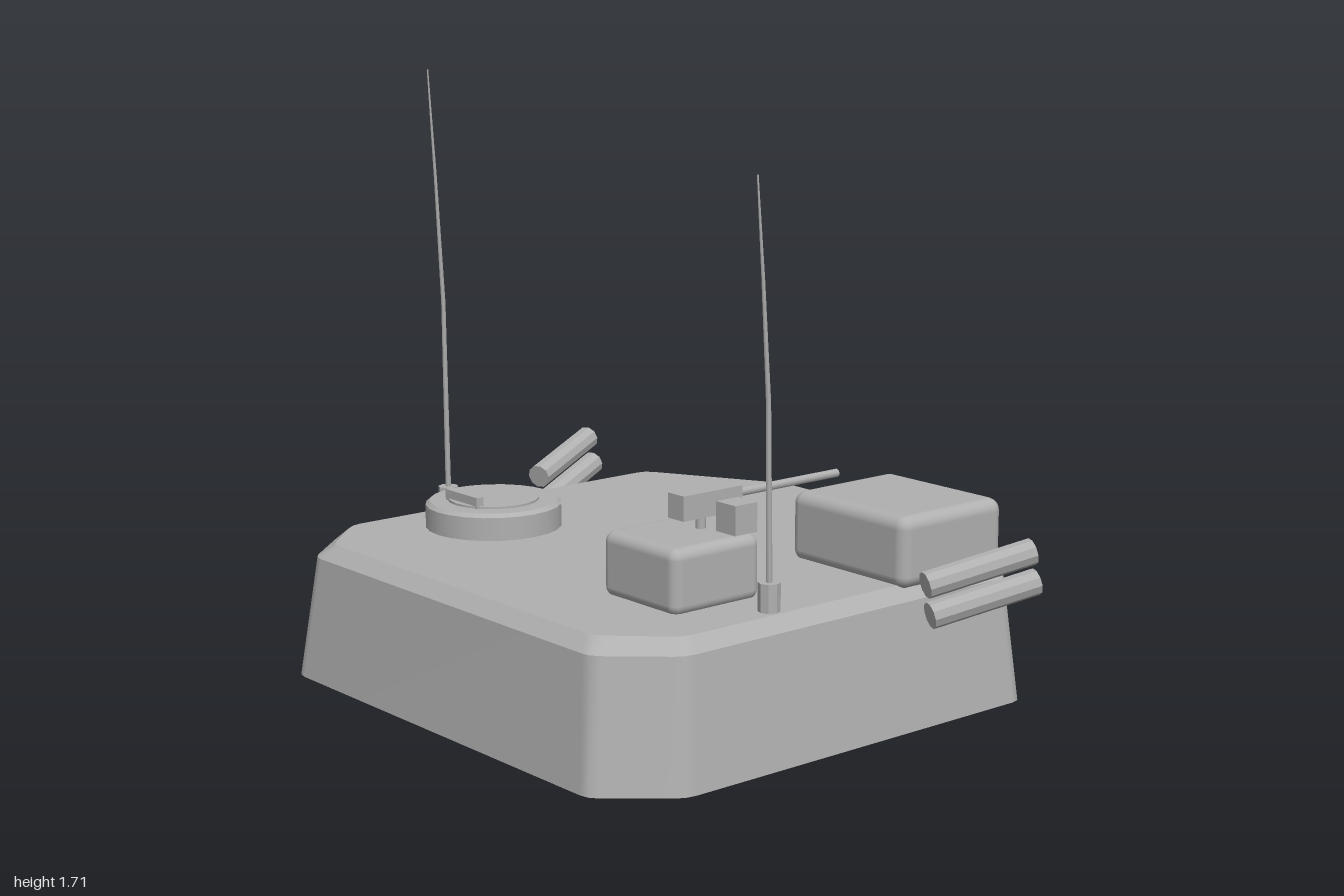
import * as THREE from 'three';
import { RoundedBoxGeometry } from 'three/addons/geometries/RoundedBoxGeometry.js';

const grey = new THREE.MeshStandardMaterial({ color: 0xb0b0b0 });
grey.name = 'grey';
const greyFlat = new THREE.MeshStandardMaterial({ color: 0xb0b0b0, flatShading: true });
greyFlat.name = 'grey faceted';

function part(parent, name, geometry, x = 0, y = 0, z = 0, material = grey) {
  const mesh = new THREE.Mesh(geometry, material);
  mesh.name = name;
  mesh.position.set(x, y, z);
  parent.add(mesh);
  return mesh;
}

// Cylinder running from a to b
function rod(parent, name, a, b, rA, rB, sides, material) {
  const dir = b.clone().sub(a);
  const mid = a.clone().add(b).multiplyScalar(0.5);
  const mesh = part(parent, name, new THREE.CylinderGeometry(rB, rA, dir.length(), sides), mid.x, mid.y, mid.z, material);
  mesh.quaternion.setFromUnitVectors(new THREE.Vector3(0, 1, 0), dir.normalize());
  return mesh;
}

// Eight-cornered outline with softened corners, anticlockwise from above
function ring(y, half) {
  const all = [...half, ...half.slice().reverse().map(([x, z]) => [-x, z])];
  const pts = all.map(([x, z]) => new THREE.Vector3(x, y, z));
  const out = [];
  pts.forEach((p, i) => {
    const prev = pts[(i + pts.length - 1) % pts.length];
    const next = pts[(i + 1) % pts.length];
    const a = p.clone().add(prev.clone().sub(p).setLength(0.03));
    const b = p.clone().add(next.clone().sub(p).setLength(0.03));
    const curve = new THREE.QuadraticBezierCurve3(a, p, b);
    out.push(...curve.getPoints(2));
  });
  return out;
}

// Wall between two outlines, each band smooth around and sharp at its rims
function band(low, high) {
  const n = low.length;
  const index = [];
  for (let i = 0; i < n; i++) {
    const j = (i + 1) % n;
    index.push(i, j, n + j, i, n + j, n + i);
  }
  const g = new THREE.BufferGeometry().setFromPoints([...low, ...high]);
  g.setIndex(index);
  g.computeVertexNormals();
  return g;
}

function cap(points, up) {
  const index = [];
  for (let i = 1; i < points.length - 1; i++) index.push(0, up ? i : i + 1, up ? i + 1 : i);
  const g = new THREE.BufferGeometry().setFromPoints(points);
  g.setIndex(index);
  g.computeVertexNormals();
  return g;
}

export function createModel() {
  const model = new THREE.Group();
  model.name = 'turret';

  // Tapered body with a bevelled upper rim
  const body = new THREE.Group();
  body.name = 'body';
  model.add(body);
  const bottom = ring(0, [[0.67, 0.83], [0.83, 0.64], [0.83, -0.58], [0.37, -0.83]]);
  const shoulder = ring(0.35, [[0.63, 0.79], [0.79, 0.61], [0.79, -0.555], [0.355, -0.795]]);
  const top = ring(0.388, [[0.595, 0.75], [0.752, 0.585], [0.752, -0.53], [0.34, -0.757]]);
  part(body, 'bodyWall', band(bottom, shoulder));
  part(body, 'bodyBevel', band(shoulder, top));
  part(body, 'bodyRoof', cap(top, true));
  part(body, 'bodyFloor', cap(bottom, false));

  // Round hatch with lid and viewing block
  const hatch = new THREE.Group();
  hatch.name = 'hatch';
  model.add(hatch);
  part(hatch, 'hatchRing', new THREE.CylinderGeometry(0.2, 0.2, 0.07, 24), -0.492, 0.42, 0.26);
  part(hatch, 'hatchRim', new THREE.CylinderGeometry(0.188, 0.2, 0.011, 24), -0.492, 0.46, 0.26);
  part(hatch, 'hatchLid', new THREE.CylinderGeometry(0.134, 0.134, 0.02, 18), -0.492, 0.462, 0.26);
  part(hatch, 'viewingBlock', new THREE.BoxGeometry(0.155, 0.035, 0.025), -0.495, 0.48, 0.362);

  // Rear stowage box with a thin back plate
  part(model, 'stowageBox', new RoundedBoxGeometry(0.445, 0.2, 0.39, 3, 0.035), 0.562, 0.477, -0.35);
  part(model, 'stowagePlate', new THREE.BoxGeometry(0.35, 0.12, 0.008), 0.565, 0.485, -0.549);

  // Weapon station: housing, post, receiver, barrel and sight
  const station = new THREE.Group();
  station.name = 'weaponStation';
  model.add(station);
  part(station, 'housing', new RoundedBoxGeometry(0.3, 0.18, 0.3, 3, 0.03), 0.448, 0.469, 0.335);
  part(station, 'post', new THREE.CylinderGeometry(0.014, 0.014, 0.06, 10), 0.45, 0.575, 0.27);
  part(station, 'receiver', new THREE.BoxGeometry(0.064, 0.068, 0.205), 0.448, 0.628, 0.252);
  part(station, 'sight', new THREE.BoxGeometry(0.076, 0.08, 0.076), 0.582, 0.613, 0.26);
  rod(station, 'barrel', new THREE.Vector3(0.448, 0.635, 0.16), new THREE.Vector3(0.448, 0.635, -0.228), 0.012, 0.012, 10);

  // Whip antennas, bent towards the front and thinning to the tip
  for (const [side, name, height] of [[-1, 'rightAntenna', 1.25], [1, 'leftAntenna', 1.06]]) {
    const antenna = new THREE.Group();
    antenna.name = name;
    model.add(antenna);
    const x = side * 0.715;
    part(antenna, 'antennaBase', new THREE.CylinderGeometry(0.03, 0.03, 0.08, 8), x, 0.425, 0.265, greyFlat);
    const pts = [[0, 0.265], [0.45, 0.272], [0.75, 0.293], [1, 0.314]]
      .map(([t, z]) => new THREE.Vector3(x, 0.46 + t * height, z));
    const radii = [0.009, 0.007, 0.005, 0.0025];
    for (let i = 0; i < 3; i++) rod(antenna, 'antennaRod', pts[i], pts[i + 1], radii[i], radii[i + 1], 6);
  }

  // Paired launcher tubes slanting out to the rear on each side
  for (const side of [-1, 1]) {
    const launcher = new THREE.Group();
    launcher.name = side < 0 ? 'rightLauncher' : 'leftLauncher';
    model.add(launcher);
    for (const k of [0, 1]) {
      const a = new THREE.Vector3(side * 0.847, 0.406 - 0.087 * k, -0.175 - 0.02 * k);
      const b = new THREE.Vector3(side * 0.963, 0.474 - 0.087 * k, -0.463 - 0.02 * k);
      rod(launcher, 'launcherTube', a, b, 0.037, 0.037, 10, greyFlat);
    }
  }
  return model;
}
